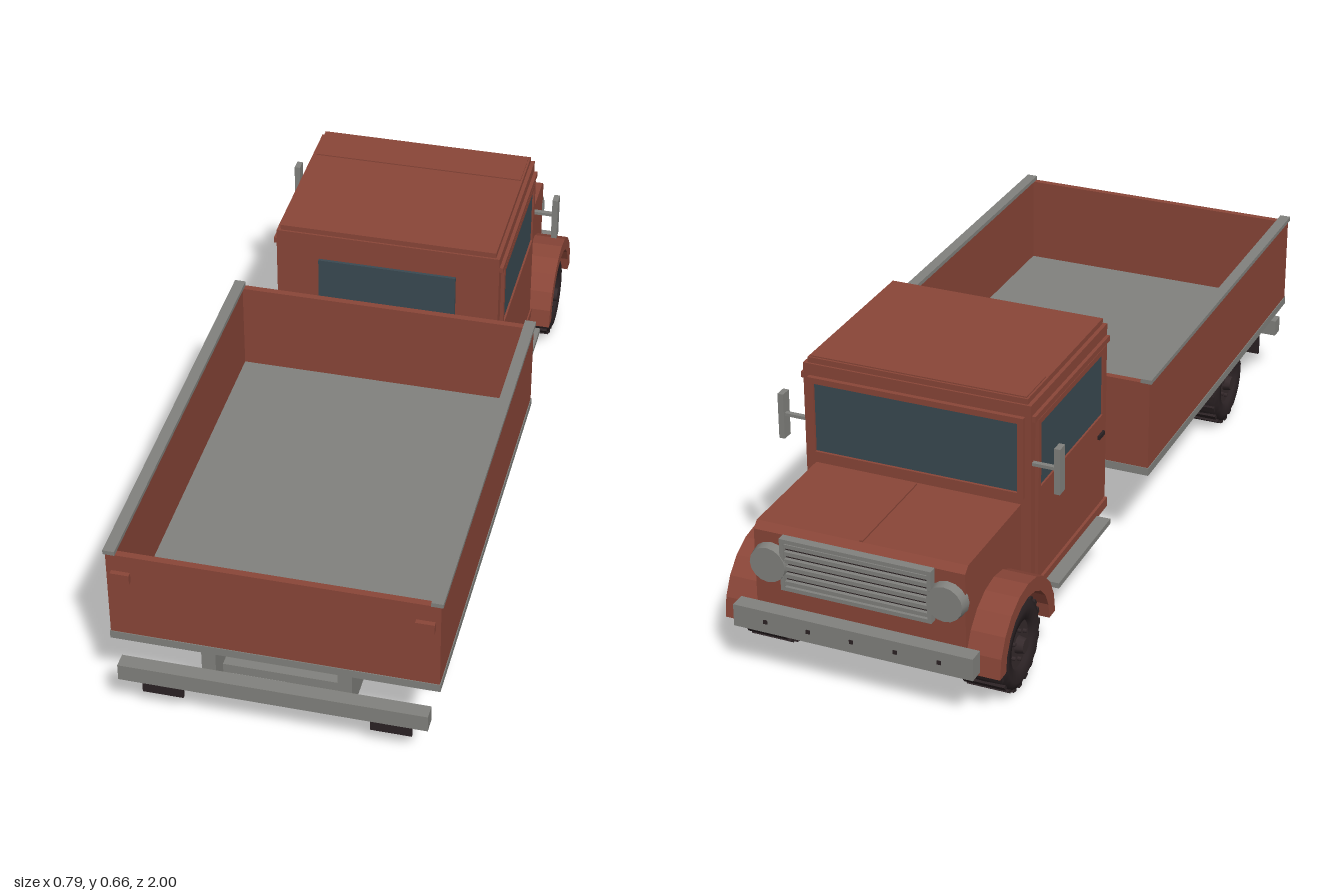
import * as THREE from 'three';

const mat = (name, color) => Object.assign(new THREE.MeshStandardMaterial({ color }), { name });

export function createModel() {
  const truck = new THREE.Group();
  truck.name = 'truck';
  const red = mat('rustRedPaint', 0x8a4638);
  const grey = mat('greyMetal', 0x82827e);
  const glass = mat('darkGlass', 0x3a4a52);
  const rubber = mat('blackRubber', 0x2b2224);
  const rim = mat('darkRim', 0x352a2c);

  const add = (name, geo, m, parent = truck) => {
    const mesh = new THREE.Mesh(geo, m);
    mesh.name = name;
    parent.add(mesh);
    return mesh;
  };
  // Box given by its limits on each axis
  const box = (name, m, x0, x1, y0, y1, z0, z1, parent) => {
    const b = add(name, new THREE.BoxGeometry(x1 - x0, y1 - y0, z1 - z0), m, parent);
    b.position.set((x0 + x1) / 2, (y0 + y1) / 2, (z0 + z1) / 2);
    return b;
  };
  // The same box on both sides
  const pair = (name, m, x0, x1, y0, y1, z0, z1) => {
    box(name + 'Left', m, x0, x1, y0, y1, z0, z1);
    box(name + 'Right', m, -x1, -x0, y0, y1, z0, z1);
  };
  // Side profile (u = -z, v = y) extruded across x
  const profile = (name, m, shape, x0, x1, curveSegments = 6) => {
    const geo = new THREE.ExtrudeGeometry(shape, { depth: x1 - x0, bevelEnabled: false, curveSegments });
    geo.rotateY(Math.PI / 2).translate(x0, 0, 0);
    return add(name, geo, m);
  };
  // Rectangular border in the xy plane
  const frameGeo = (w, h, t, depth) => {
    const rect = (a, b) => [[-a, -b], [a, -b], [a, b], [-a, b]].map(p => new THREE.Vector2(...p));
    const s = new THREE.Shape(rect(w / 2, h / 2));
    s.holes.push(new THREE.Path(rect(w / 2 - t, h / 2 - t)));
    return new THREE.ExtrudeGeometry(s, { depth, bevelEnabled: false }).translate(0, 0, -depth / 2);
  };

  // Chassis
  pair('chassisRail', grey, 0.146, 0.18, 0.105, 0.147, -0.96, 0.96);
  pair('bedBeam', grey, 0.146, 0.18, 0.147, 0.236, -0.105, 0.95);
  for (const z of [0.88, 0.42, -0.05, -0.62]) box('crossMember', grey, -0.15, 0.15, 0.11, 0.135, z - 0.015, z + 0.015);

  // Load bed
  box('bedFloor', grey, -0.392, 0.392, 0.235, 0.256, -0.127, 0.972);
  pair('bedSide', red, 0.37, 0.39, 0.256, 0.489, -0.125, 0.97);
  box('headboard', red, -0.37, 0.37, 0.256, 0.489, -0.125, -0.108);
  box('tailgate', red, -0.37, 0.37, 0.256, 0.489, 0.953, 0.97);
  pair('bedRim', grey, 0.367, 0.395, 0.489, 0.5, -0.127, 0.972);
  pair('tailLamp', red, 0.333, 0.378, 0.417, 0.443, 0.97, 0.982);

  // Rear bumper and mud flaps
  box('rearBumper', grey, -0.37, 0.37, 0.133, 0.177, 0.963, 1);
  pair('mudFlap', rubber, 0.225, 0.325, 0.07, 0.14, 0.955, 0.963);

  // Cab
  box('cabBody', red, -0.29, 0.29, 0.15, 0.65, -0.635, -0.16);
  box('roof', red, -0.28, 0.28, 0.65, 0.664, -0.63, -0.165);
  box('roofVisor', red, -0.275, 0.275, 0.655, 0.667, -0.625, -0.51);
  for (const [y0, y1] of [[0.15, 0.175], [0.607, 0.622]]) pair('cabTrim', red, 0.288, 0.299, y0, y1, -0.63, -0.165);
  pair('doorPanel', red, 0.288, 0.298, 0.185, 0.412, -0.61, -0.19);
  pair('doorHandle', rubber, 0.298, 0.304, 0.37, 0.38, -0.235, -0.2);
  pair('sideWindow', glass, 0.288, 0.294, 0.425, 0.59, -0.597, -0.205);
  for (const s of [1, -1]) {
    const f = add('doorWindowFrame', frameGeo(0.42, 0.195, 0.015, 0.01), red);
    f.rotation.y = Math.PI / 2;
    f.position.set(s * 0.294, 0.508, -0.4);
  }
  box('windshield', glass, -0.26, 0.26, 0.425, 0.605, -0.64, -0.634);
  add('windshieldFrame', frameGeo(0.55, 0.21, 0.015, 0.014), red).position.set(0, 0.515, -0.64);
  box('rearWindow', glass, -0.179, 0.179, 0.458, 0.579, -0.16, -0.152);

  // Hood with wheel arch cutouts
  const wy = 0.117, frontZ = -0.795, rearZ = 0.66;
  const side = new THREE.Shape();
  side.moveTo(0.635, 0.15).lineTo(0.665, 0.15);
  side.absarc(-frontZ, 0.15, 0.13, Math.PI, 0, true);
  side.lineTo(0.952, 0.15).lineTo(0.952, 0.375).lineTo(0.935, 0.39).lineTo(0.635, 0.39);
  profile('hood', red, side, -0.265, 0.265, 8);
  box('hoodUnderside', red, -0.205, 0.205, 0.15, 0.35, -0.95, -0.63);
  box('hoodRidge', red, -0.004, 0.004, 0.388, 0.394, -0.935, -0.645);

  // Front fenders
  const arch = new THREE.Shape();
  arch.absarc(-frontZ - 0.002, 0.12, 0.163, 0, Math.PI, false);
  arch.absarc(-frontZ - 0.002, 0.12, 0.128, Math.PI, 0, true);
  profile('fenderLeft', red, arch, 0.2, 0.35, 5);
  profile('fenderRight', red, arch, -0.35, -0.2, 5);

  // Grille
  box('grilleBack', rubber, -0.185, 0.185, 0.245, 0.37, -0.96, -0.951);
  add('grilleFrame', frameGeo(0.38, 0.135, 0.01, 0.022), grey).position.set(0, 0.308, -0.962);
  for (let i = 0; i < 6; i++) {
    const y = 0.259 + i * 0.0195;
    box('grilleSlat', grey, -0.182, 0.182, y - 0.005, y + 0.005, -0.97, -0.956);
  }

  // Headlights
  for (const s of [1, -1]) {
    const h = add('headlight', new THREE.CylinderGeometry(0.045, 0.05, 0.03, 16), grey);
    h.rotation.x = -Math.PI / 2;
    h.position.set(s * 0.222, 0.3, -0.96);
  }

  // Front bumper
  box('frontBumper', grey, -0.303, 0.303, 0.133, 0.19, -1, -0.96);
  for (let i = -2; i <= 2; i++) box('bumperBolt', rubber, i * 0.11 - 0.005, i * 0.11 + 0.005, 0.157, 0.167, -1.002, -0.999);

  // Side steps and fuel tank
  pair('sideStep', grey, 0.26, 0.335, 0.143, 0.157, -0.57, -0.235);
  pair('stepBracket', grey, 0.17, 0.3, 0.125, 0.143, -0.42, -0.38);
  const tank = add('fuelTank', new THREE.CylinderGeometry(0.03, 0.03, 0.25, 12), grey);
  tank.rotation.x = Math.PI / 2;
  tank.position.set(0.265, 0.118, -0.395);
  for (const z of [-0.48, -0.31]) {
    const strap = add('tankStrap', new THREE.CylinderGeometry(0.034, 0.034, 0.015, 12), grey);
    strap.rotation.x = Math.PI / 2;
    strap.position.set(0.265, 0.118, z);
  }

  // Door mirrors
  pair('mirrorArm', grey, 0.285, 0.355, 0.494, 0.502, -0.63, -0.618);
  pair('mirror', grey, 0.347, 0.362, 0.435, 0.553, -0.635, -0.605);

  // Wheels: tyre profile turned about the axle, lugs and a recessed rim
  const tyreGeo = new THREE.LatheGeometry(
    [[0.06, -0.055], [0.09, -0.06], [0.107, -0.052], [0.109, 0], [0.107, 0.052], [0.09, 0.06], [0.062, 0.055], [0.058, 0.035]]
      .map(p => new THREE.Vector2(...p)), 24);
  const lugGeo = new THREE.BoxGeometry(0.012, 0.105, 0.016);
  const rimGeo = new THREE.CylinderGeometry(0.062, 0.062, 0.09, 20);
  const hubGeo = new THREE.CylinderGeometry(0.018, 0.024, 0.03, 10);
  const boltGeo = new THREE.CylinderGeometry(0.005, 0.005, 0.012, 6);
  const flatRubber = rubber;
  for (const z of [frontZ, rearZ]) {
    for (const s of [1, -1]) {
      const wheel = new THREE.Group();
      wheel.name = (z < 0 ? 'front' : 'rear') + 'Wheel';
      add('tyre', tyreGeo, flatRubber, wheel);
      for (let i = 0; i < 20; i++) {
        const a = (i / 20) * Math.PI * 2;
        const lug = add('treadLug', lugGeo, flatRubber, wheel);
        lug.position.set(Math.cos(a) * 0.108, 0, Math.sin(a) * 0.108);
        lug.rotation.y = -a;
      }
      add('rim', rimGeo, rim, wheel);
      add('hub', hubGeo, rim, wheel).position.y = 0.05;
      for (let i = 0; i < 6; i++) {
        const a = (i / 6) * Math.PI * 2;
        add('wheelBolt', boltGeo, rim, wheel).position.set(Math.cos(a) * 0.038, 0.048, Math.sin(a) * 0.038);
      }
      wheel.rotation.z = -s * Math.PI / 2;
      wheel.position.set(s * 0.28, wy, z);
      truck.add(wheel);
    }
    const axle = add('axle', new THREE.CylinderGeometry(0.015, 0.015, 0.5, 10), grey);
    axle.rotation.z = Math.PI / 2;
    axle.position.set(0, wy, z);
  }
  return truck;
}
